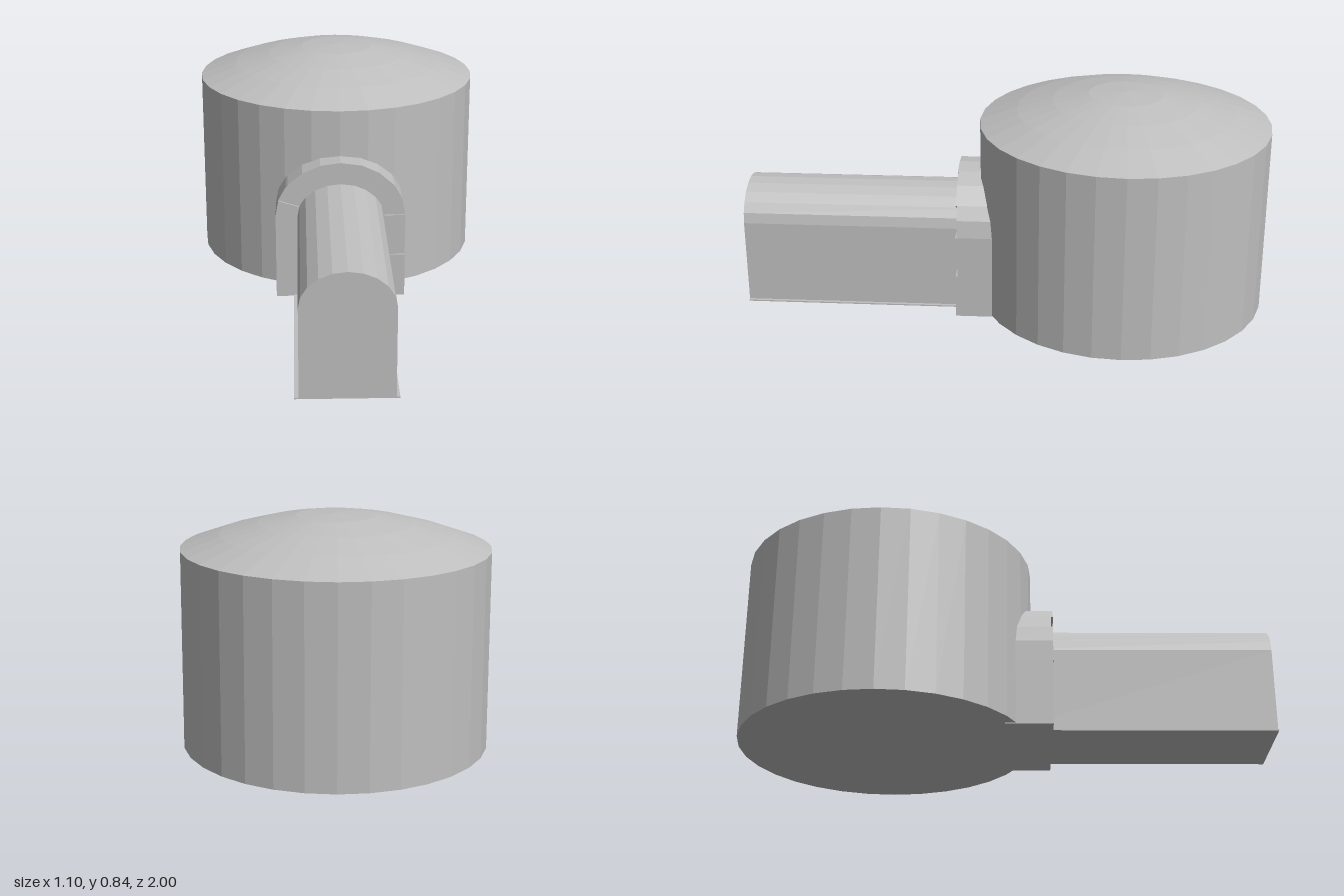
import * as THREE from 'three';

const SPRING = 0.33; // height where the arches start to curve

// Point on a round-topped arch: s 0..1 right leg, 1..2 curve, 2..3 left leg
function archPoint(s, halfWidth, rise) {
  if (s <= 1) return new THREE.Vector2(halfWidth, s * SPRING);
  if (s >= 2) return new THREE.Vector2(-halfWidth, (3 - s) * SPRING);
  const a = (s - 1) * Math.PI;
  return new THREE.Vector2(halfWidth * Math.cos(a), SPRING + rise * Math.sin(a));
}

// Arch points between two positions, including the facet corners in between
function archRun(from, to, halfWidth, rise) {
  const steps = [from];
  for (let i = 0; i <= 10; i++) {
    const s = 1 + i / 10;
    if (s > from + 0.002 && s < to - 0.002) steps.push(s);
  }
  steps.push(to);
  return steps.map((s) => archPoint(s, halfWidth, rise));
}

function extrude(points, z0, z1) {
  const geometry = new THREE.ExtrudeGeometry(new THREE.Shape(points), { depth: z1 - z0, bevelEnabled: false });
  return geometry.translate(0, 0, z0);
}

export function createModel() {
  const model = new THREE.Group();
  model.name = 'domedHut';
  const grey = new THREE.MeshStandardMaterial({ color: 0xbfbfbf, flatShading: true });
  grey.name = 'stoneGrey';

  const add = (name, geometry, parent = model) => {
    const mesh = new THREE.Mesh(geometry, grey);
    mesh.name = name;
    parent.add(mesh);
    return mesh;
  };

  // Round wall
  add('roundWall', new THREE.CylinderGeometry(0.55, 0.55, 0.715, 32)).position.set(0, 0.3615, -0.45);

  // Shallow domed roof
  const profile = [[0.55, 0.719], [0.41, 0.769], [0.275, 0.806], [0.14, 0.832], [0, 0.84]];
  add('domedRoof', new THREE.LatheGeometry(profile.map(([r, y]) => new THREE.Vector2(r, y)), 32))
    .position.z = -0.45;

  // Entrance passage with a thin floor slab
  add('passage', extrude(archRun(0, 3, 0.163, 0.128), 0, 1));
  add('passageFloor', new THREE.BoxGeometry(0.354, 0.005, 1)).position.set(-0.002, 0.0025, 0.5);

  // Stones of the doorway arch, each with a slightly different depth
  const arch = new THREE.Group();
  arch.name = 'doorwayArch';
  model.add(arch);
  const joints = [0, 0.51, 0.76, 1, 1.183, 1.394, 1.817, 1.906, 2.24, 3];
  const fronts = [0.178, 0.17, 0.178, 0.172, 0.178, 0.18, 0.172, 0.178, 0.176];
  fronts.forEach((front, i) => {
    const outer = archRun(joints[i], joints[i + 1], 0.246, 0.212);
    const inner = archRun(joints[i], joints[i + 1], 0.162, 0.128).reverse();
    add('archStone' + (i + 1), extrude([...outer, ...inner], 0, front), arch);
  });

  return model;
}
